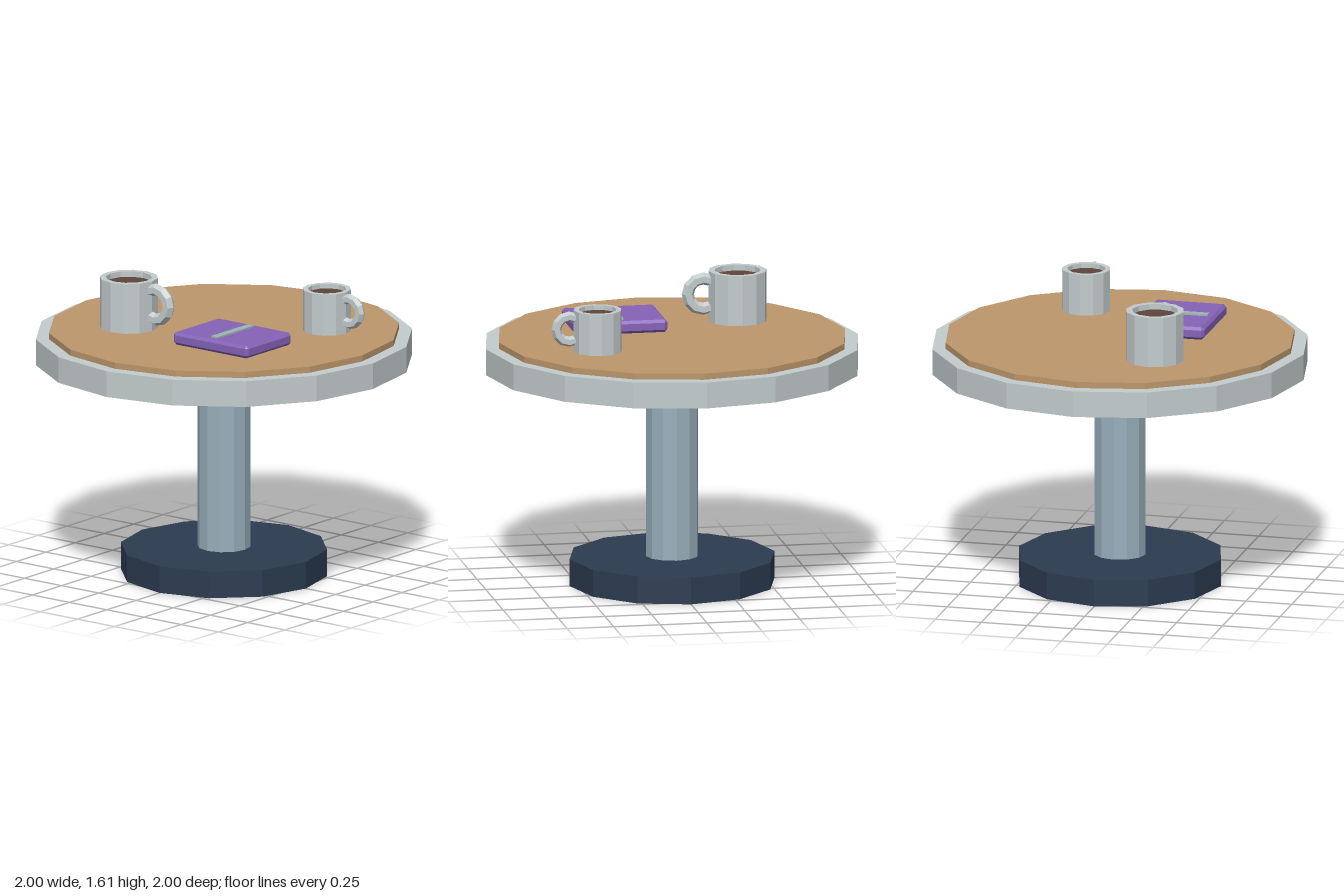
import * as THREE from 'three';
import { ConvexGeometry } from 'three/addons/geometries/ConvexGeometry.js';

const material = (name, color) => {
  const m = new THREE.MeshStandardMaterial({ color });
  m.name = name;
  return m;
};

// Gives every facet its own normal for the low-poly look
function faceted(geometry) {
  const g = geometry.index ? geometry.toNonIndexed() : geometry;
  g.computeVertexNormals();
  return g;
}

function part(name, geometry, mat, x = 0, y = 0, z = 0) {
  const mesh = new THREE.Mesh(faceted(geometry), mat);
  mesh.name = name;
  mesh.position.set(x, y, z);
  return mesh;
}

// Upright disc or post between two heights
function disc(name, radius, y0, y1, sides, mat) {
  const g = new THREE.CylinderGeometry(radius, radius, y1 - y0, sides);
  return part(name, g, mat, 0, (y0 + y1) / 2, 0);
}

// Box with every edge and corner cut by the same bevel
function chamferedBox(w, h, d, bevel) {
  const points = [];
  for (const sx of [-1, 1]) for (const sy of [-1, 1]) for (const sz of [-1, 1]) {
    for (let axis = 0; axis < 3; axis++) {
      const p = [w / 2 - bevel, h / 2 - bevel, d / 2 - bevel];
      p[axis] += bevel;
      points.push(new THREE.Vector3(sx * p[0], sy * p[1], sz * p[2]));
    }
  }
  return new ConvexGeometry(points);
}

// Mug standing on its own origin, handle towards +x
function createMug(name, ceramic, coffee) {
  const mug = new THREE.Group();
  mug.name = name;
  const profile = [[0, 0], [0.155, 0], [0.155, 0.27], [0.122, 0.27], [0.122, 0.23]]
    .map(([x, y]) => new THREE.Vector2(x, y));
  mug.add(part('mugBody', new THREE.LatheGeometry(profile, 12), ceramic));

  const surface = new THREE.CircleGeometry(0.122, 12).rotateX(-Math.PI / 2);
  mug.add(part('coffeeSurface', surface, coffee, 0, 0.24, 0));

  // Open ring whose two ends are buried in the mug wall
  const ring = new THREE.TorusGeometry(0.082, 0.033, 6, 8, Math.PI * 4 / 3);
  ring.rotateZ(-Math.PI * 2 / 3);
  mug.add(part('mugHandle', ring, ceramic, 0.185, 0.15, 0));
  return mug;
}

export function createModel() {
  const paleGrey = material('paleGrey', 0xc3cbcc);
  const wood = material('wood', 0xbc976b);
  const steel = material('steel', 0x98aebb);
  const navy = material('navy', 0x2b3b50);
  const coffee = material('coffee', 0x5d4539);
  const purple = material('purple', 0x8562b8);
  const sage = material('sage', 0x9db5b3);

  const model = new THREE.Group();
  model.name = 'cafeTable';

  // Table
  model.add(
    disc('base', 0.55, 0, 0.145, 12, navy),
    disc('post', 0.14, 0.145, 1.16, 12, steel),
    disc('tableRim', 1, 1.16, 1.3, 16, paleGrey),
    disc('tableTop', 0.93, 1.3, 1.333, 16, wood),
  );

  // Mugs
  const largeMug = createMug('largeMug', paleGrey, coffee);
  largeMug.position.set(-0.407, 1.335, 0.295);
  const smallMug = createMug('smallMug', paleGrey, coffee);
  smallMug.position.set(0.455, 1.335, -0.3);
  smallMug.scale.setScalar(0.83);
  model.add(largeMug, smallMug);

  // Closed book with a strip across its cover
  model.add(
    part('book', chamferedBox(0.5, 0.068, 0.39, 0.015), purple, 0.26, 1.37, 0.258),
    part('bookStrip', new THREE.BoxGeometry(0.043, 0.009, 0.31), sage, 0.262, 1.4083, 0.26),
  );
  return model;
}
